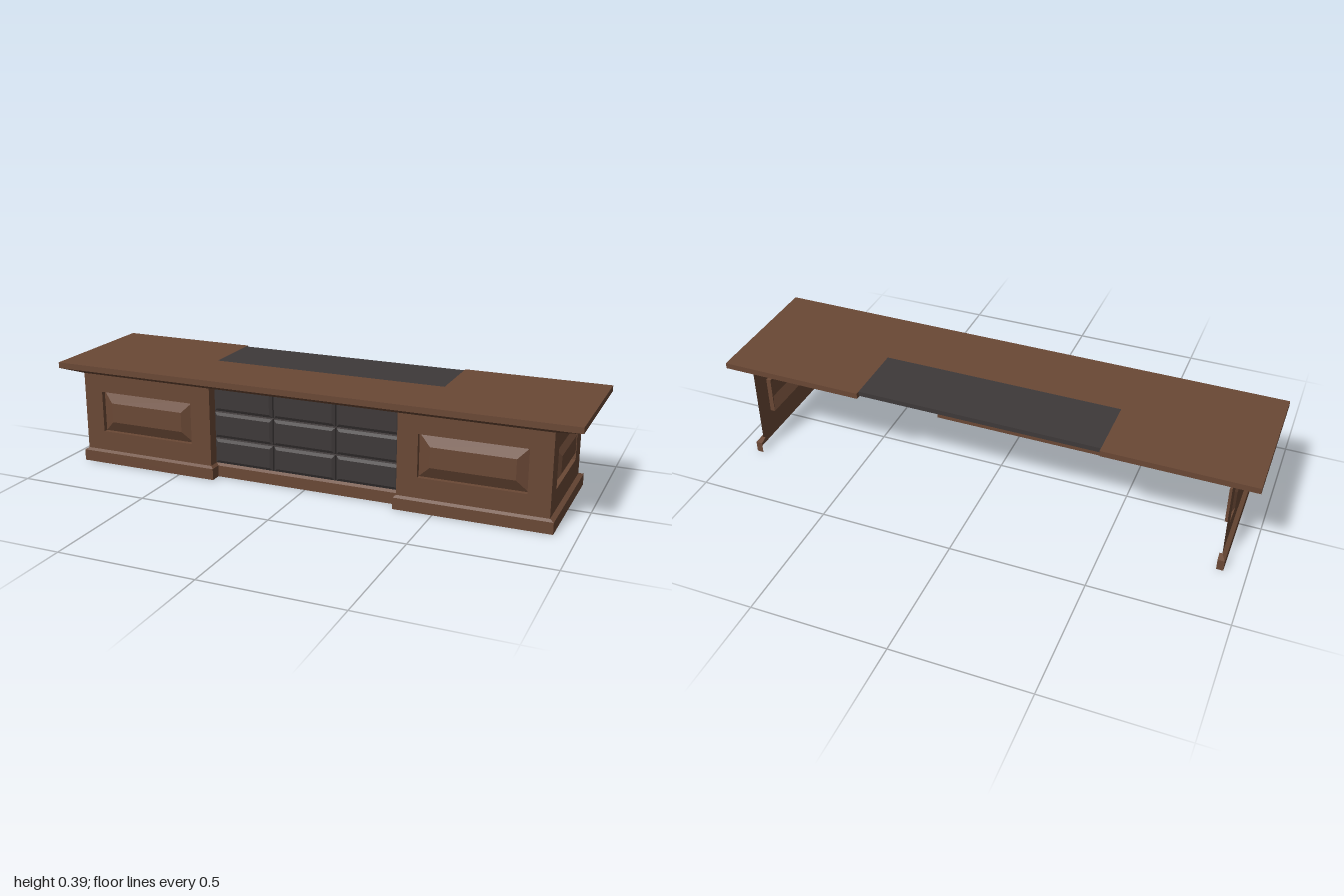
import * as THREE from 'three';

const mat = (name, color) => {
  const m = new THREE.MeshStandardMaterial({ color, side: THREE.DoubleSide });
  m.name = name;
  return m;
};

// Flat-shaded skin between consecutive loops of points; optional cap on the last loop
function skin(loops, closed, cap) {
  const pos = [];
  const quad = (a, b, c, d) => pos.push(...a, ...b, ...c, ...a, ...c, ...d);
  for (let i = 0; i < loops.length - 1; i++) {
    const lo = loops[i], hi = loops[i + 1], n = lo.length;
    for (let j = 0; j < (closed ? n : n - 1); j++) {
      const k = (j + 1) % n;
      quad(lo[j], lo[k], hi[k], hi[j]);
    }
  }
  if (cap) quad(...loops[loops.length - 1]);
  const g = new THREE.BufferGeometry();
  g.setAttribute('position', new THREE.Float32BufferAttribute(pos, 3));
  g.computeVertexNormals();
  return g;
}

// Nested rectangles [x0, x1, y0, y1, depth] make panels and pads
const relief = rings => skin(rings.map(([x0, x1, y0, y1, z]) =>
  [[x0, y0, z], [x1, y0, z], [x1, y1, z], [x0, y1, z]]), true, true);

// Mirror half a floor path of [x, z] across x = 0 and lift it to height y
const path = (half, y) => [...half, ...half.slice().reverse().map(([x, z]) => [-x, z])]
  .map(([x, z]) => [x, y, z]);

export function createModel() {
  const group = new THREE.Group();
  group.name = 'executiveDesk';
  const wood = mat('brownWood', 0x6a4835);
  const leather = mat('darkLeather', 0x3e3939);
  const add = (name, geo, m) => {
    const mesh = new THREE.Mesh(geo, m);
    mesh.name = name;
    group.add(mesh);
    return mesh;
  };
  const Y0 = 0.052, Y1 = 0.352, TOP = 0.368, RECESS = 0.187;

  // Desktop with a notch at the back for the writing surface
  const outline = new THREE.Shape([[-1, -0.26], [1, -0.26], [1, 0.26], [0.455, 0.26],
    [0.455, 0.005], [-0.455, 0.005], [-0.455, 0.26], [-1, 0.26]]
    .map(([x, y]) => new THREE.Vector2(x, y)));
  const slab = new THREE.ExtrudeGeometry(outline, { depth: 0.39 - TOP, bevelEnabled: false });
  slab.rotateX(-Math.PI / 2);
  add('desktop', slab, wood).position.y = TOP;
  add('writingSurface', new THREE.BoxGeometry(0.91, 0.018, 0.24), leather)
    .position.set(0, 0.381, -0.125);

  // Sloped moulding under the desktop
  add('topMoulding', skin([
    path([[0.905, -0.232], [0.905, 0.232]], Y1),
    path([[1, -0.26], [1, 0.26]], TOP)], false, false), wood);

  // Plinth that follows the recessed middle and returns at the back
  const plinth = [[0.895, -0.26], [0.92, -0.26], [0.92, 0.24], [0.355, 0.24], [0.355, 0.196]];
  const wallLine = [[0.895, -0.232], [0.905, -0.232], [0.905, 0.232], [0.365, 0.232], [0.365, RECESS]];
  add('plinth', skin([path(plinth, 0), path(plinth, 0.043), path(wallLine, Y0)], false, false), wood);

  for (const s of [1, -1]) {
    const side = s > 0 ? 'left' : 'right';

    // Front wall with a sunk, raised-centre panel
    const front = relief([
      [-0.27, 0.27, Y0, Y1, 0],
      [-0.195, 0.19, 0.127, 0.285, 0],
      [-0.195, 0.19, 0.127, 0.285, -0.018],
      [-0.15, 0.15, 0.17, 0.245, 0.004]]);
    if (s < 0) front.scale(1, 1, 1);
    add(side + 'FrontPanel', front, wood).position.set(s * 0.635, 0, 0.232);

    // End wall
    const end = add(side + 'EndPanel', relief([
      [-0.232, 0.232, Y0, Y1, 0],
      [-0.157, 0.157, 0.13, 0.275, 0],
      [-0.157, 0.157, 0.13, 0.275, -0.018],
      [-0.118, 0.118, 0.17, 0.235, 0.005]]), wood);
    end.position.x = s * 0.905;
    end.rotation.y = s * Math.PI / 2;

    // Short wall stepping back to the padded middle
    add(side + 'RecessWall', skin([
      [[s * 0.365, Y0, 0.232], [s * 0.365, Y0, RECESS]],
      [[s * 0.365, TOP, 0.232], [s * 0.365, TOP, RECESS]]], false, false), wood);
  }

  // Three by three leather pads
  const cols = [-0.365, -0.124, 0.122, 0.365], rows = [Y0, 0.153, 0.256, 0.366];
  for (let i = 0; i < 3; i++) {
    for (let j = 0; j < 3; j++) {
      const ring = (inset, z) =>
        [cols[i] + inset, cols[i + 1] - inset, rows[j] + inset, rows[j + 1] - inset, z];
      add('leatherPad', relief([ring(0, 0), ring(0.003, 0.008), ring(0.014, 0.014)]), leather)
        .position.z = RECESS;
    }
  }
  return group;
}
